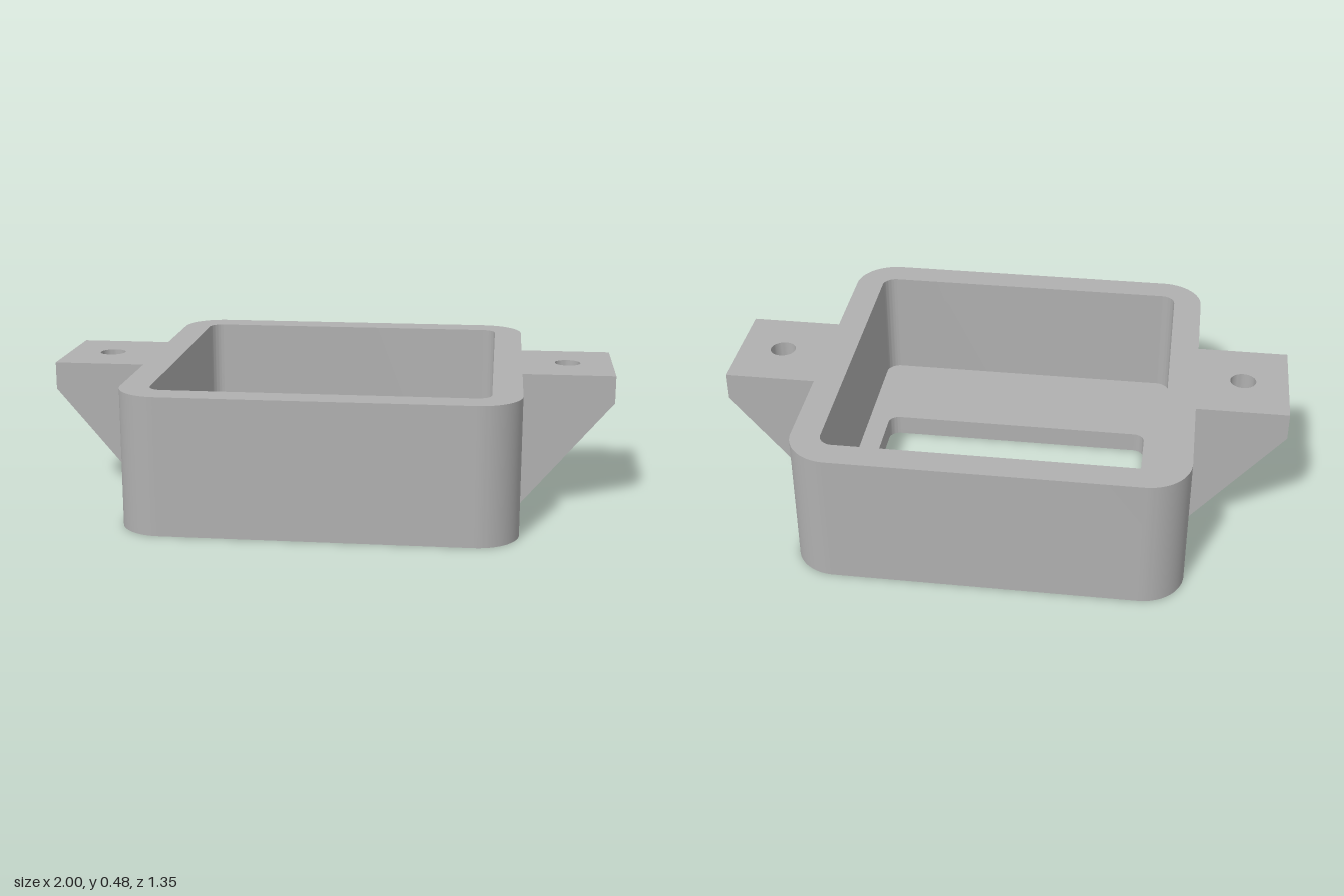
import * as THREE from 'three';
import { toCreasedNormals } from 'three/addons/utils/BufferGeometryUtils.js';

const grey = new THREE.MeshStandardMaterial({ color: 0xb0b0b0 });
grey.name = 'grey plastic';

const HALF = 0.677, HEIGHT = 0.48, CAVITY = 0.575, FLOOR = 0.075;

// Rounded rectangle outline in plan (y of the outline is -z of the model)
function roundedRect(target, x0, y0, x1, y1, r) {
  target.moveTo(x0 + r, y0);
  target.lineTo(x1 - r, y0);
  target.absarc(x1 - r, y0 + r, r, -Math.PI / 2, 0);
  target.lineTo(x1, y1 - r);
  target.absarc(x1 - r, y1 - r, r, 0, Math.PI / 2);
  target.lineTo(x0 + r, y1);
  target.absarc(x0 + r, y1 - r, r, Math.PI / 2, Math.PI);
  target.lineTo(x0, y0 + r);
  target.absarc(x0 + r, y0 + r, r, Math.PI, Math.PI * 1.5);
  return target;
}

// Extrude a plan outline upwards from y = 0
function extrudeUp(shape, height) {
  return new THREE.ExtrudeGeometry(shape, { depth: height, bevelEnabled: false, curveSegments: 14 })
    .rotateX(-Math.PI / 2);
}

function addPart(group, name, geometry) {
  const mesh = new THREE.Mesh(toCreasedNormals(geometry, 0.5), grey);
  mesh.name = name;
  group.add(mesh);
  return mesh;
}

export function createModel() {
  const model = new THREE.Group();
  model.name = 'mountingBox';

  // Walls with a rounded cavity
  const walls = roundedRect(new THREE.Shape(), -HALF, -HALF, HALF, HALF, 0.15);
  walls.holes.push(roundedRect(new THREE.Path(), -CAVITY, -CAVITY, CAVITY, CAVITY, 0.05));
  addPart(model, 'walls', extrudeUp(walls, HEIGHT));

  // Floor with an opening set towards the back
  const floor = roundedRect(new THREE.Shape(), -CAVITY, -CAVITY, CAVITY, CAVITY, 0.05);
  floor.holes.push(roundedRect(new THREE.Path(), -0.498, -0.2, 0.498, 0.365, 0.04));
  addPart(model, 'floor', extrudeUp(floor, FLOOR));

  // Mounting ears: drilled blocks whose underside slopes down to the wall
  const ear = new THREE.Shape();
  ear.moveTo(HALF, -0.2);
  ear.lineTo(1, -0.2);
  ear.lineTo(1, 0.2);
  ear.lineTo(HALF, 0.2);
  ear.closePath();
  ear.holes.push(new THREE.Path().absarc(0.84, 0, 0.046, 0, Math.PI * 2));
  const earGeometry = extrudeUp(ear, HEIGHT);
  const p = earGeometry.attributes.position;
  for (let i = 0; i < p.count; i++) {
    if (p.getY(i) < HEIGHT / 2) p.setY(i, 0.383 * (p.getX(i) - HALF) / (1 - HALF));
  }
  earGeometry.computeVertexNormals();
  addPart(model, 'leftEar', earGeometry);
  addPart(model, 'rightEar', earGeometry).rotation.y = Math.PI;

  return model;
}
